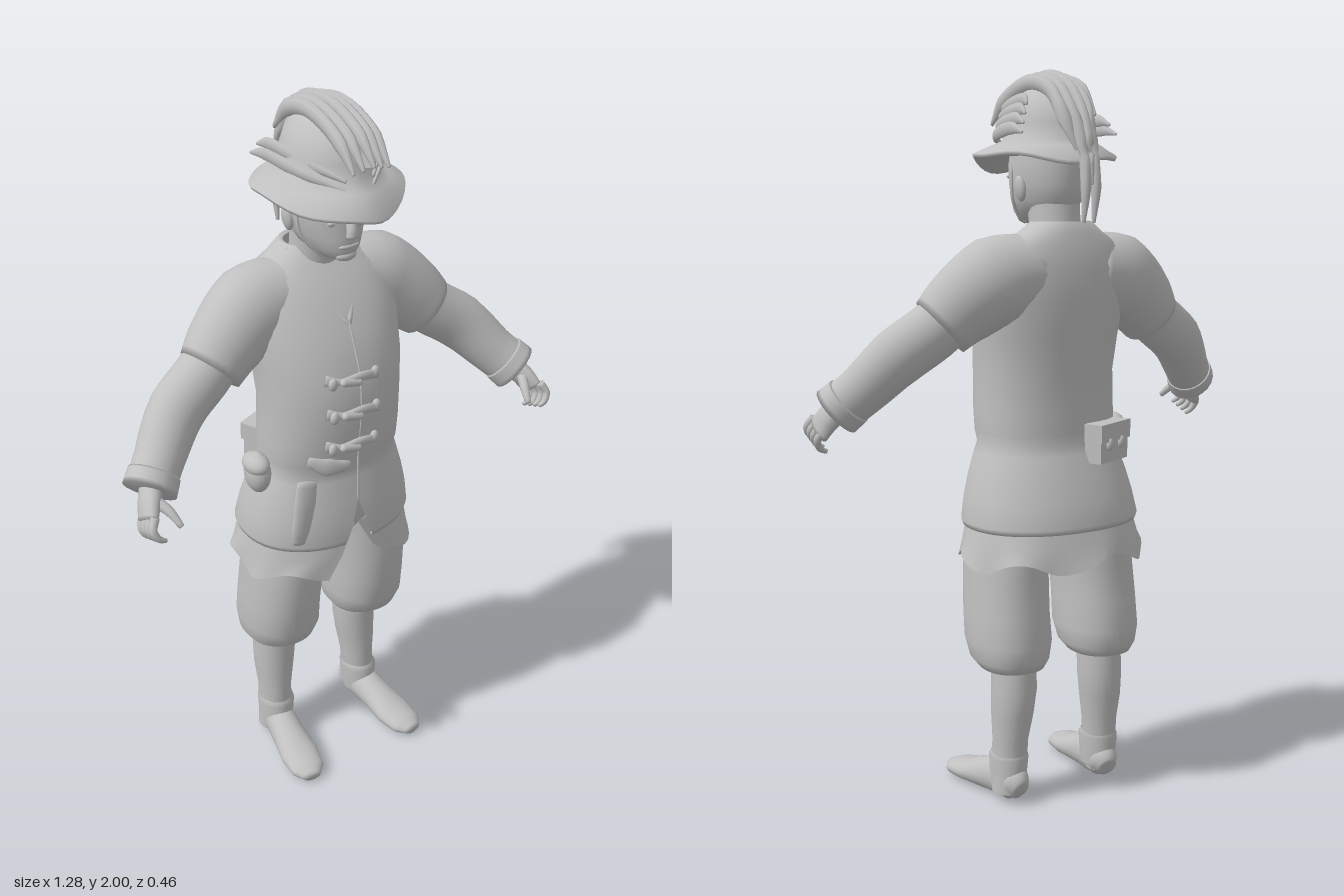
import * as THREE from 'three';
import { mergeVertices } from 'three/addons/utils/BufferGeometryUtils.js';

const V = (x, y, z) => new THREE.Vector3(x, y, z);
const clay = new THREE.MeshStandardMaterial({ color: 0xc0c0c0, side: THREE.DoubleSide });
clay.name = 'clay grey';

function add(parent, name, geometry, p = [0, 0, 0], s = [1, 1, 1], r = [0, 0, 0]) {
  const m = new THREE.Mesh(geometry, clay);
  m.name = name;
  m.position.set(...p);
  m.scale.set(...s);
  m.rotation.set(...r);
  parent.add(m);
  return m;
}

// Skin a list of equal-length cross-sections
function skin(sections) {
  const n = sections[0].length, pos = [], idx = [];
  sections.forEach(s => s.forEach(p => pos.push(p.x, p.y, p.z)));
  for (let j = 0; j < sections.length - 1; j++) {
    for (let i = 0; i < n - 1; i++) {
      const a = j * n + i, b = a + 1, c = b + n, d = a + n;
      idx.push(a, b, c, a, c, d);
    }
  }
  let g = new THREE.BufferGeometry();
  g.setAttribute('position', new THREE.Float32BufferAttribute(pos, 3));
  g.setIndex(idx);
  g = mergeVertices(g, 1e-5);
  g.computeVertexNormals();
  return g;
}

// Horizontal rings [y, cx, cz, rx, rz, half angle of front gap], bottom first
function loft(rings, { n = 40, e = 1, warp = null } = {}) {
  const sp = v => Math.sign(v) * Math.abs(v) ** e;
  return skin(rings.map(([y, cx, cz, rx, rz, gap = 0], j) => Array.from({ length: n + 1 }, (_, i) => {
    const a = gap + (i / n) * (2 * Math.PI - 2 * gap);
    const p = V(cx + rx * sp(Math.sin(a)), y, cz + rz * sp(Math.cos(a)));
    if (warp) warp(p, a, j);
    return p;
  })));
}

// Closed tube through [x, y, z, ru, rv]; rv lies towards ref, ru across it
function tube(points, ref = V(0, 0, 1), n = 14, steps = 4) {
  const curve = new THREE.CatmullRomCurve3(points.map(p => V(...p.slice(0, 3))));
  const total = (points.length - 1) * steps, out = [];
  for (let k = 0; k <= total; k++) {
    const t = k / total, c = curve.getPoint(t), tan = curve.getTangent(t);
    const u = V().crossVectors(tan, ref).normalize(), v = V().crossVectors(u, tan);
    const i = Math.min(Math.floor(k / steps), points.length - 2), f = k / steps - i;
    const ru = THREE.MathUtils.lerp(points[i][3], points[i + 1][3], f);
    const rv = THREE.MathUtils.lerp(points[i][4], points[i + 1][4], f);
    const ring = s => Array.from({ length: n + 1 }, (_, q) => {
      const a = (q / n) * Math.PI * 2;
      return c.clone().addScaledVector(u, Math.sin(a) * ru * s).addScaledVector(v, Math.cos(a) * rv * s);
    });
    if (k === 0) out.push(ring(0));
    out.push(ring(1));
    if (k === total) out.push(ring(0));
  }
  return skin(out);
}

const ball = new THREE.SphereGeometry(1, 20, 14);

function buildArm() {
  const arm = new THREE.Group();
  add(arm, 'shortSleeve', tube([[.08, 1.475, -.045, .1, .1], [.19, 1.45, -.04, .122, .105],
    [.28, 1.39, -.02, .106, .092], [.337, 1.335, -.003, .09, .08]], V(0, 0, 1), 24));
  add(arm, 'longSleeve', tube([[.28, 1.39, -.02, .075, .07], [.36, 1.325, -.003, .078, .07],
    [.45, 1.262, .02, .078, .068], [.53, 1.175, .07, .068, .062], [.575, 1.13, .105, .066, .06]], V(0, 0, 1), 24));
  add(arm, 'cuff', tube([[.556, 1.15, .09, .07, .064], [.583, 1.12, .112, .073, .066]], V(0, 0, 1), 20));
  add(arm, 'palm', tube([[.57, 1.135, .1, .03, .035], [.597, 1.1, .135, .026, .042],
    [.614, 1.068, .158, .02, .045]], V(0, .5, 1)));
  for (let i = 0; i < 4; i++) {
    const z = .128 + i * .022, y = 1.055 + i * .009;
    add(arm, 'finger', tube([[.612, y + .015, z, .012, .012], [.626, y - .012, z + .014, .011, .011],
      [.615, y - .035, z + .022, .009, .009], [.597, y - .045, z + .022, .006, .006]], V(0, 0, 1), 8));
  }
  add(arm, 'thumb', tube([[.585, 1.11, .145, .016, .016], [.565, 1.09, .185, .013, .013],
    [.553, 1.062, .218, .008, .008]], V(1, 0, 0), 8));
  return arm;
}

function buildLeg() {
  const leg = new THREE.Group();
  add(leg, 'breeches', loft([[.4, .145, -.04, .062, .075], [.395, .145, -.035, .085, .095],
    [.42, .145, -.025, .102, .118], [.47, .145, -.017, .11, .134], [.55, .145, -.008, .108, .134],
    [.66, .14, .003, .105, .137], [.76, .132, 0, .11, .14], [.88, .11, 0, .1, .13]], { e: .9 }));
  add(leg, 'stocking', loft([[.03, .158, -.035, .045, .045], [.1, .152, -.03, .048, .055],
    [.18, .15, -.035, .049, .053], [.26, .147, -.042, .058, .063], [.33, .143, -.045, .062, .068],
    [.42, .143, -.04, .06, .07]], { n: 24 }));
  // Shoe sections run from heel to toe, turned slightly outwards
  add(leg, 'shoe', tube([[.147, .04, -.085, .025, .03], [.15, .055, -.06, .042, .053],
    [.155, .06, 0, .046, .058], [.164, .047, .07, .05, .045], [.172, .034, .14, .058, .032],
    [.18, .026, .2, .05, .024], [.184, .022, .232, .025, .014]], V(0, 1, 0), 20));
  add(leg, 'shoeTop', loft([[.045, .153, -.025, .047, .058], [.13, .151, -.028, .053, .062],
    [.145, .151, -.03, .047, .055]], { n: 24 }));
  return leg;
}

function buildHead() {
  const head = new THREE.Group();
  add(head, 'neck', loft([[1.48, 0, -.05, .075, .07], [1.56, 0, -.035, .067, .068], [1.66, 0, -.02, .07, .075]]));
  add(head, 'face', loft([[1.6, 0, .05, .02, .03], [1.605, 0, .055, .045, .065], [1.63, 0, .025, .07, .105],
    [1.66, 0, .012, .086, .117], [1.7, 0, .008, .095, .119], [1.75, 0, .006, .1, .119], [1.82, 0, .005, .09, .11]]));
  add(head, 'nose', tube([[0, 1.72, .118, .01, .01], [0, 1.69, .134, .014, .014], [0, 1.667, .138, .018, .013]], V(0, 0, 1), 10));
  add(head, 'mouth', ball, [0, 1.64, .122], [.03, .008, .01]);
  add(head, 'chin', ball, [0, 1.612, .108], [.03, .016, .02]);
  for (const s of [-1, 1]) {
    add(head, 'brow', ball, [s * .04, 1.722, .112], [.03, .009, .012], [0, s * .35, 0]);
    add(head, 'eye', ball, [s * .038, 1.703, .109], [.017, .009, .008]);
    add(head, 'ear', ball, [s * .096, 1.69, -.01], [.012, .034, .022], [0, 0, -s * .15]);
    add(head, 'cheekStrap', tube([[s * .098, 1.75, .03, .006, .004], [s * .089, 1.66, .04, .006, .004],
      [s * .04, 1.6, .06, .006, .004]], V(1, 0, 0), 8));
  }
  return head;
}

function buildHat() {
  const hat = new THREE.Group();
  // Brim and crown in one skin; the brim dips at the front and back
  add(hat, 'hatBrimAndCrown', loft([[1.775, 0, .01, .095, .115], [1.775, 0, .022, .19, .205],
    [1.785, 0, .022, .195, .212], [1.8, 0, .02, .15, .175], [1.815, 0, .015, .112, .142],
    [1.86, 0, .012, .106, .142], [1.91, 0, .01, .088, .125], [1.945, 0, .005, .055, .085], [1.96, 0, 0, 0, 0]],
  { e: 1.1, warp: (p, a, j) => {
    if (j === 1 || j === 2) p.y -= Math.cos(a) ** 2 * (Math.cos(a) > 0 ? .042 : .02) + .006 * Math.sin(a * 5);
  } }));
  // Crest of long feathers arching from front to back, hanging behind
  const arc = [[.225, 1.875], [.165, 1.93], [.085, 1.965], [0, 1.977], [-.085, 1.955], [-.15, 1.89], [-.19, 1.8], [-.205, 1.7], [-.195, 1.61]];
  [-.05, -.026, 0, .026, .05].forEach((x, k) => {
    const drop = Math.abs(x) * .25, end = [6, 9, 8, 9, 7][k];
    add(hat, 'crestFeather', tube(arc.slice(0, end).map(([z, y], i) => {
      const tip = i === 0 || i === end - 1;
      return [x * (i > 5 ? .6 : 1), y - drop, z * (1 - Math.abs(x)), tip ? .004 : .013, tip ? .006 : i > 5 ? .016 : .022];
    }), V(0, -.35, -.1).normalize(), 8));
  });
  // Underlying crest fin
  add(hat, 'crestFin', skin([1, .8].map(k => arc.slice(0, 7).map(([z, y]) => V(0, 1.8 + (y - 1.8) * k, z * k)))));
  // Plumes swept back along the sides of the crown
  for (const [s, count] of [[1, 4], [-1, 2]]) {
    for (let i = 0; i < count; i++) {
      const y = 1.825 + i * .024, w = (s > 0 ? .142 : .112) - i * .012;
      add(hat, 'sidePlume', tube([[s * .04, y - .02, .165, .006, .004], [s * w * .8, y, .09, .014, .007],
        [s * w, y + .012, .01, .018, .008], [s * (w + .012), y + .018, -.07, .016, .007],
        [s * (w + .018), y + .006, -.125 + i * .012, .004, .003]], V(1, 0, 0), 8));
    }
  }
  return hat;
}

function buildCoat() {
  const coat = new THREE.Group();
  // Jacket with flared skirt, split at the front hem
  add(coat, 'jacket', loft([[.795, 0, -.005, .225, .172, .15], [.785, 0, -.005, .248, .192, .15],
    [.8, 0, -.005, .253, .197, .13], [.86, 0, .002, .243, .187, .06], [.92, 0, .008, .228, .172],
    [.985, 0, .015, .207, .153], [1.01, 0, .018, .196, .146], [1.04, 0, .022, .2, .152], [1.1, 0, .027, .2, .155],
    [1.2, 0, .03, .197, .16], [1.3, 0, .018, .205, .163], [1.4, 0, -.008, .215, .148], [1.48, 0, -.03, .215, .125],
    [1.54, 0, -.046, .185, .098], [1.575, 0, -.056, .125, .075], [1.605, 0, -.06, .085, .062],
    [1.6, 0, -.058, .072, .055]], { n: 56, e: .9 }));
  // Uneven shirt hem hanging below the jacket, open at the front
  add(coat, 'shirtHem', loft([[.695, 0, -.01, .266, .205, .32], [.75, 0, -.008, .252, .192, .17],
    [.84, 0, 0, .23, .172, .01]], { n: 56, e: .9, warp: (p, a, j) => {
    if (j === 0) { p.y += .018 * Math.sin(a * 6); p.x *= 1 + .025 * Math.sin(a * 9); p.z *= 1 + .04 * Math.cos(a * 8); }
  } }));
  add(coat, 'breechesSeat', loft([[.71, 0, 0, 0, 0], [.74, 0, 0, .09, .09], [.82, 0, 0, .19, .14], [.92, 0, 0, .19, .14]]));
  for (const s of [-1, 1]) {
    add(coat, 'neckLapel', tube([[s * .085, 1.595, -.035, .008, .008], [s * .07, 1.535, .035, .01, .008],
      [s * .038, 1.475, .086, .01, .007], [0, 1.425, .126, .007, .005]], V(0, 0, 1), 8));
  }
  add(coat, 'frontOpening', tube([[0, 1.43, .127, .003, .003], [0, 1.3, .18, .003, .003], [0, 1.2, .189, .003, .003],
    [0, 1.06, .177, .003, .003], [0, .92, .18, .003, .003]], V(0, 0, 1), 6));
  // Three toggle fastenings
  for (const [y, z] of [[1.3, .182], [1.205, .191], [1.105, .184]]) {
    add(coat, 'toggleLoop', tube([[-.1, y + .008, z - .013, .016, .006], [-.06, y, z, .009, .008],
      [0, y + .003, z + .006, .014, .008], [.055, y - .008, z, .013, .006]], V(0, 0, 1), 8));
    add(coat, 'togglePeg', new THREE.CapsuleGeometry(.011, .045, 4, 10), [-.035, y - .004, z + .009], [1, 1, 1], [0, 0, 1.35]);
    for (const x of [-.085, .045]) add(coat, 'toggleKnot', ball, [x, y, z + .001], [.013, .018, .01]);
  }
  add(coat, 'waistFlap', tube([[-.14, 1.07, .148, .012, .006], [-.09, 1.045, .168, .028, .008], [-.03, 1.04, .18, .012, .006]], V(0, 0, 1), 10));
  return coat;
}

function buildBeltGear() {
  const gear = new THREE.Group();
  add(gear, 'hipPouch', ball, [-.226, 1.005, .03], [.034, .06, .045]);
  add(gear, 'hipPouchFlap', ball, [-.23, 1.033, .03], [.034, .03, .048]);
  add(gear, 'sheath', tube([[-.145, 1.01, .152, .032, .01], [-.158, .95, .16, .034, .014],
    [-.175, .87, .165, .028, .013], [-.18, .83, .163, .018, .01]], V(0, 0, 1), 12));
  // Square pouch on the back of the belt
  const pouch = new THREE.Group();
  pouch.name = 'backPouch';
  add(pouch, 'pouchBody', new THREE.BoxGeometry(.14, .1, .05));
  add(pouch, 'pouchFlap', new THREE.BoxGeometry(.15, .05, .056), [0, .032, -.003]);
  for (const s of [-1, 1]) add(pouch, 'pouchButton', ball, [s * .03, .0, -.028], [.012, .018, .01]);
  pouch.position.set(-.105, 1.01, -.128);
  pouch.rotation.y = .42;
  gear.add(pouch);
  return gear;
}

export function createModel() {
  const model = new THREE.Group();
  model.name = 'figure';
  const parts = { head: buildHead(), hat: buildHat(), coat: buildCoat(), beltGear: buildBeltGear() };
  for (const [side, s] of [['left', 1], ['right', -1]]) {
    parts[side + 'Arm'] = buildArm();
    parts[side + 'Leg'] = buildLeg();
    parts[side + 'Arm'].scale.x = parts[side + 'Leg'].scale.x = s;
  }
  for (const [name, part] of Object.entries(parts)) {
    part.name = name;
    model.add(part);
  }
  return model;
}
